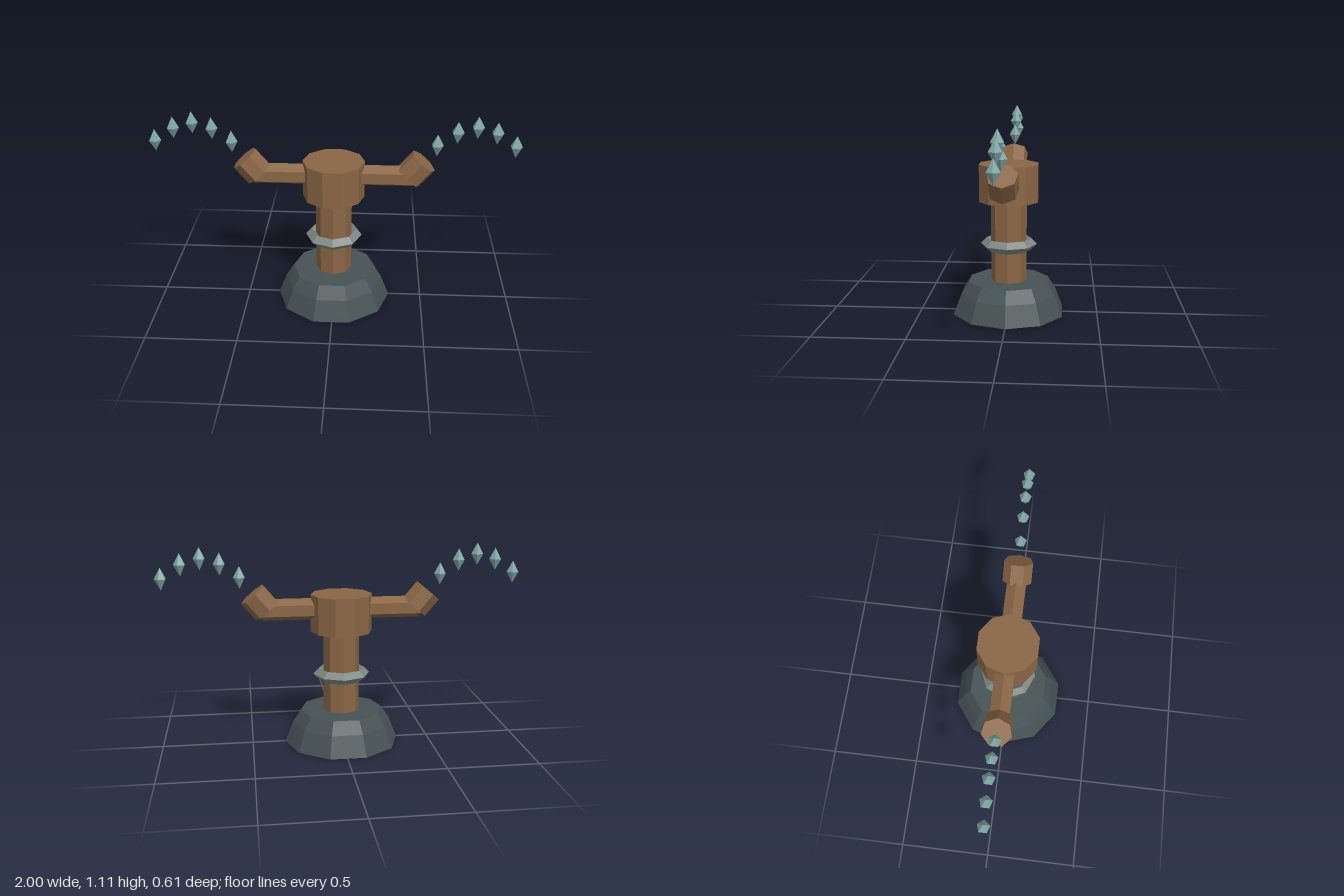
import * as THREE from 'three';

const flat = (color) => new THREE.MeshStandardMaterial({ color, flatShading: true });

export function createModel() {
  const model = new THREE.Group();
  const wood = flat(0x8a6645);
  const stone = flat(0x465254);
  const metal = flat(0x7d8884);
  const crystal = flat(0x7fa8a6);

  const add = (name, geometry, material, x = 0, y = 0, tilt = 0) => {
    const mesh = new THREE.Mesh(geometry, material);
    mesh.name = name;
    mesh.position.set(x - 0.004, y, 0);
    mesh.rotation.z = tilt;
    model.add(mesh);
    return mesh;
  };

  // Upright prism with one corner on +x
  const prism = (radius, height, sides) =>
    new THREE.CylinderGeometry(radius, radius, height, sides).rotateY(Math.PI / 2);

  // Ten-sided stone foot, steeper at the bottom
  const footProfile = [[0, 0], [0.32, 0], [0.275, 0.115], [0.23, 0.185], [0, 0.185]]
    .map(([r, y]) => new THREE.Vector2(r, y));
  add('base', new THREE.LatheGeometry(footProfile, 10).rotateY(Math.PI / 2), stone);

  // Post, collar and head
  add('post', prism(0.1, 0.54, 8), wood, 0, 0.42);
  add('collar', new THREE.TorusGeometry(0.125, 0.033, 4, 8).rotateX(Math.PI / 2), metal, 0, 0.393);
  add('head', prism(0.17, 0.208, 10), wood, 0, 0.741);

  for (const side of [1, -1]) {
    const label = side > 0 ? 'left' : 'right';

    // Horizontal arm with an upturned block at its end
    add(`${label}Arm`, prism(0.06, 0.337, 6), wood, side * 0.2685, 0.765, Math.PI / 2);
    add(`${label}Hand`, prism(0.081, 0.12, 7), wood, side * 0.446, 0.808, -side * 0.7);

    // Arc of five floating crystals
    for (let i = 0; i < 5; i++) {
      const gem = new THREE.SphereGeometry(1, 5, 2).rotateY(Math.PI).scale(0.034, 0.062, 0.034);
      const y = 0.947 + 0.105 * Math.sin((i / 4) * Math.PI);
      add(`${label}Crystal${i + 1}`, gem, crystal, side * (0.552 + 0.104 * i), y);
    }
  }

  return model;
}
